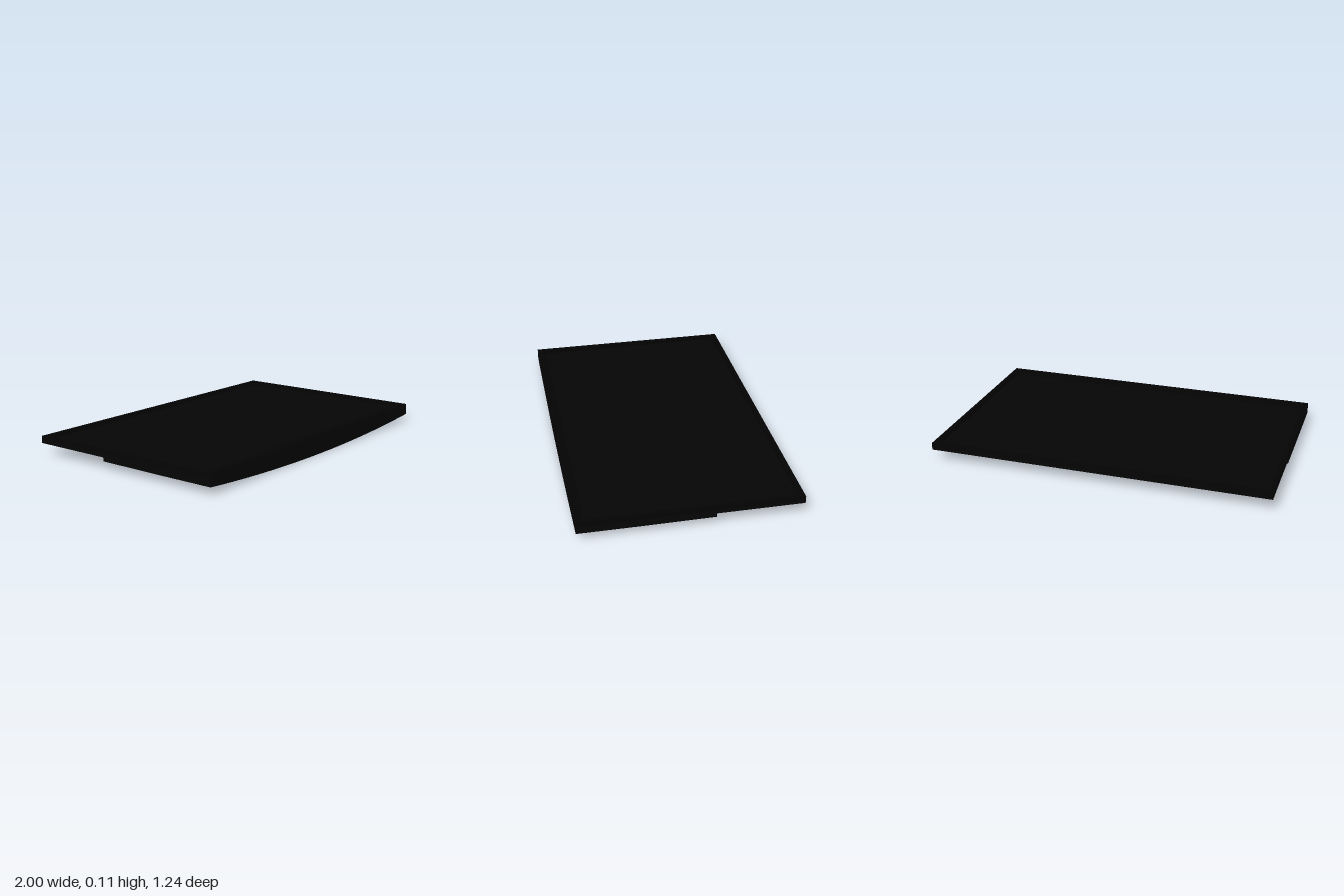
import * as THREE from 'three';
import { toCreasedNormals } from 'three/addons/utils/BufferGeometryUtils.js';

const HALF_DEPTH = 0.62;
const PANEL_Y = 0.086, TOP_Y = 0.109;

export function createModel() {
  const model = new THREE.Group();
  const black = new THREE.MeshStandardMaterial({ name: 'black', color: 0x050505 });
  const deepBlack = new THREE.MeshStandardMaterial({ name: 'deep black', color: 0x030303 });

  const add = (name, geometry, material) => {
    const mesh = new THREE.Mesh(geometry, material);
    mesh.name = name;
    model.add(mesh);
    return mesh;
  };

  // One closed body: thin slab behind, then a step down to the bowed underside.
  // Each station is z, height of the underside at the sides, depth of the bow.
  const stations = [
    [-HALF_DEPTH, 0.067, 0], [-0.13, 0.067, 0], [-0.13, 0.045, 0],
    [0.12, 0.045, 0.023], [0.28, 0.045, 0.045], [HALF_DEPTH, 0.045, 0.045],
  ];
  const body = new THREE.BoxGeometry(2, 2, 5, 20, 1, 5);
  const p = body.attributes.position;
  for (let i = 0; i < p.count; i++) {
    const [z, side, bow] = stations[Math.round(p.getZ(i) + 2.5)];
    const x = p.getX(i);
    const y = p.getY(i) < 0 ? side - bow * (1 - 0.95 * x * x) : PANEL_Y;
    p.setXYZ(i, x, y, z);
  }
  add('body', toCreasedNormals(body, 0.4), black);

  // Raised border around the recessed top panel, wider along the front
  const rectangle = (Type, x, y0, y1) => new Type([
    new THREE.Vector2(-x, y0), new THREE.Vector2(x, y0),
    new THREE.Vector2(x, y1), new THREE.Vector2(-x, y1),
  ]);
  const outline = rectangle(THREE.Shape, 1, -HALF_DEPTH, HALF_DEPTH);
  outline.holes.push(rectangle(THREE.Path, 0.972, -0.572, 0.592));
  const border = add('border',
    new THREE.ExtrudeGeometry(outline, { depth: TOP_Y - PANEL_Y, bevelEnabled: false }), deepBlack);
  border.rotation.x = -Math.PI / 2;
  border.position.y = PANEL_Y;

  return model;
}
